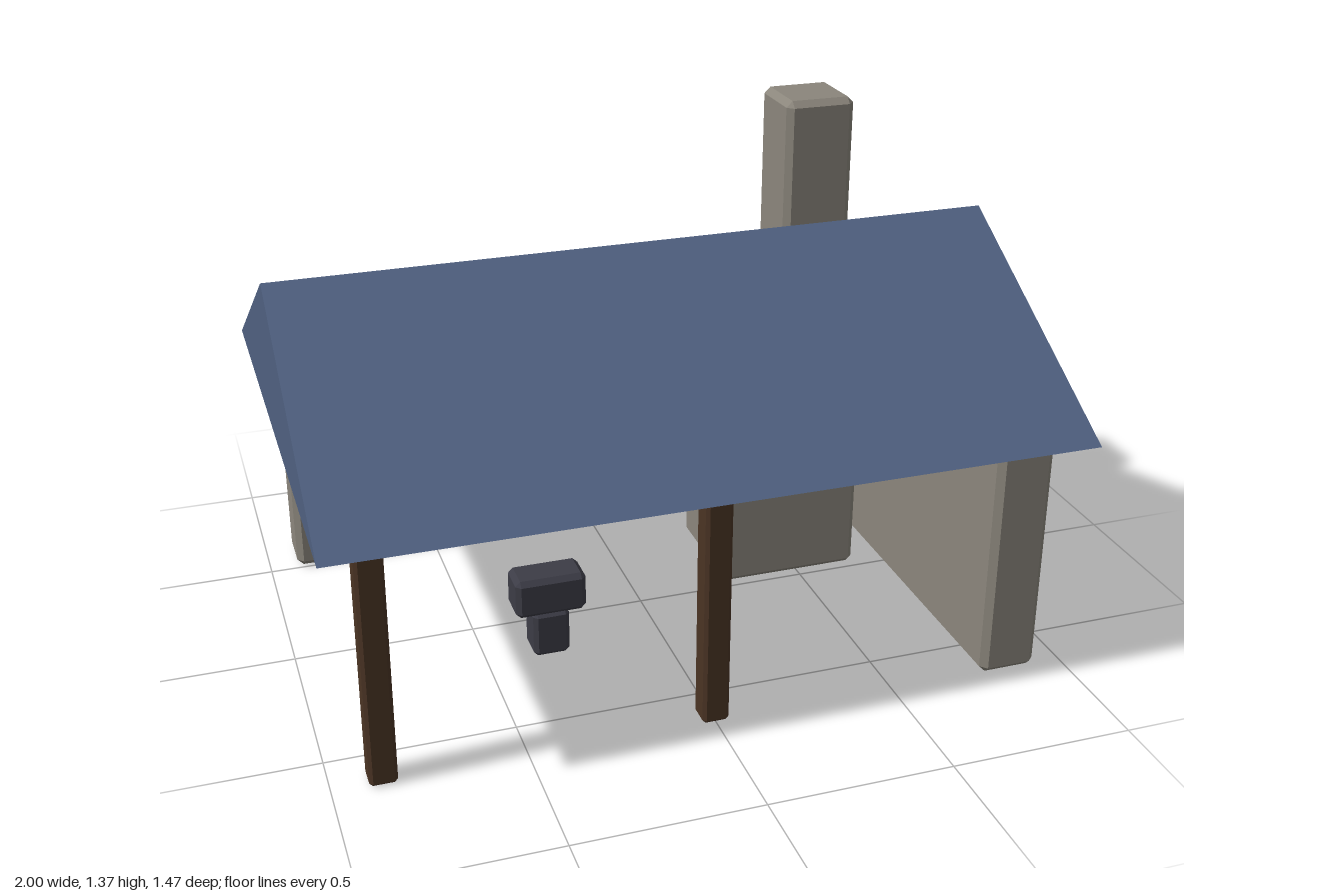
import * as THREE from 'three';
import { ConvexGeometry } from 'three/addons/geometries/ConvexGeometry.js';

const material = (color) => new THREE.MeshStandardMaterial({ color, flatShading: true });

// Box given by its minimum and maximum corners, with all edges chamfered by c
function chamferBox(min, max, c) {
  const centre = min.map((v, i) => (v + max[i]) / 2);
  const half = min.map((v, i) => (max[i] - v) / 2);
  const points = [];
  for (const sx of [-1, 1]) for (const sy of [-1, 1]) for (const sz of [-1, 1]) {
    const s = [sx, sy, sz];
    for (let axis = 0; axis < 3; axis++) {
      const p = s.map((sign, i) => sign * (half[i] - (i === axis ? 0 : c)));
      points.push(new THREE.Vector3(...p));
    }
  }
  const geometry = new ConvexGeometry(points);
  geometry.translate(...centre);
  return geometry;
}

export function createModel() {
  const group = new THREE.Group();
  const stone = material(0x8b867c);
  const slate = material(0x4f6080);
  const wood = material(0x4a3424);
  const iron = material(0x3c3c46);
  const ember = material(0xe8702a);

  const add = (name, geometry, mat, parent = group) => {
    const mesh = new THREE.Mesh(geometry, mat);
    mesh.name = name;
    parent.add(mesh);
  };

  // Two stone walls meeting in an L
  add('backWall', chamferBox([-0.92, 0, -0.655], [0.92, 0.69, -0.5], 0.018), stone);
  add('leftWall', chamferBox([0.76, 0, -0.655], [0.92, 0.69, 0.655], 0.018), stone);

  // Solid gable roof: a triangle extruded along x
  const gable = new THREE.Shape();
  gable.moveTo(-0.735, 0.69);
  gable.lineTo(0.735, 0.69);
  gable.lineTo(0, 1.105);
  gable.closePath();
  const roof = new THREE.ExtrudeGeometry(gable, { depth: 2, bevelEnabled: false });
  roof.translate(0, 0, -1);
  roof.rotateY(Math.PI / 2);
  add('roof', roof, slate);

  // Chimney passing through the back slope
  add('chimney', chamferBox([0.525, 0.635, -0.472], [0.73, 1.37, -0.267], 0.018), stone);

  // Porch posts along the front edge
  for (const x of [-0.87, 0]) {
    add('post', chamferBox([x - 0.036, 0, 0.569], [x + 0.036, 0.69, 0.641], 0.009), wood);
  }

  // Hearth with glowing coals
  const forge = new THREE.Group();
  forge.name = 'forge';
  group.add(forge);
  add('hearth', chamferBox([0.265, 0, -0.37], [0.68, 0.315, -0.02], 0.016), stone, forge);
  add('coals', chamferBox([0.343, 0.28, -0.3], [0.602, 0.356, -0.09], 0.006), ember, forge);

  // Anvil: block on a narrower foot
  const anvil = new THREE.Group();
  anvil.name = 'anvil';
  group.add(anvil);
  add('anvilFoot', chamferBox([-0.37, 0, 0.1], [-0.268, 0.135, 0.2], 0.012), iron, anvil);
  add('anvilBlock', chamferBox([-0.418, 0.13, 0.095], [-0.22, 0.243, 0.205], 0.014), iron, anvil);

  return group;
}
